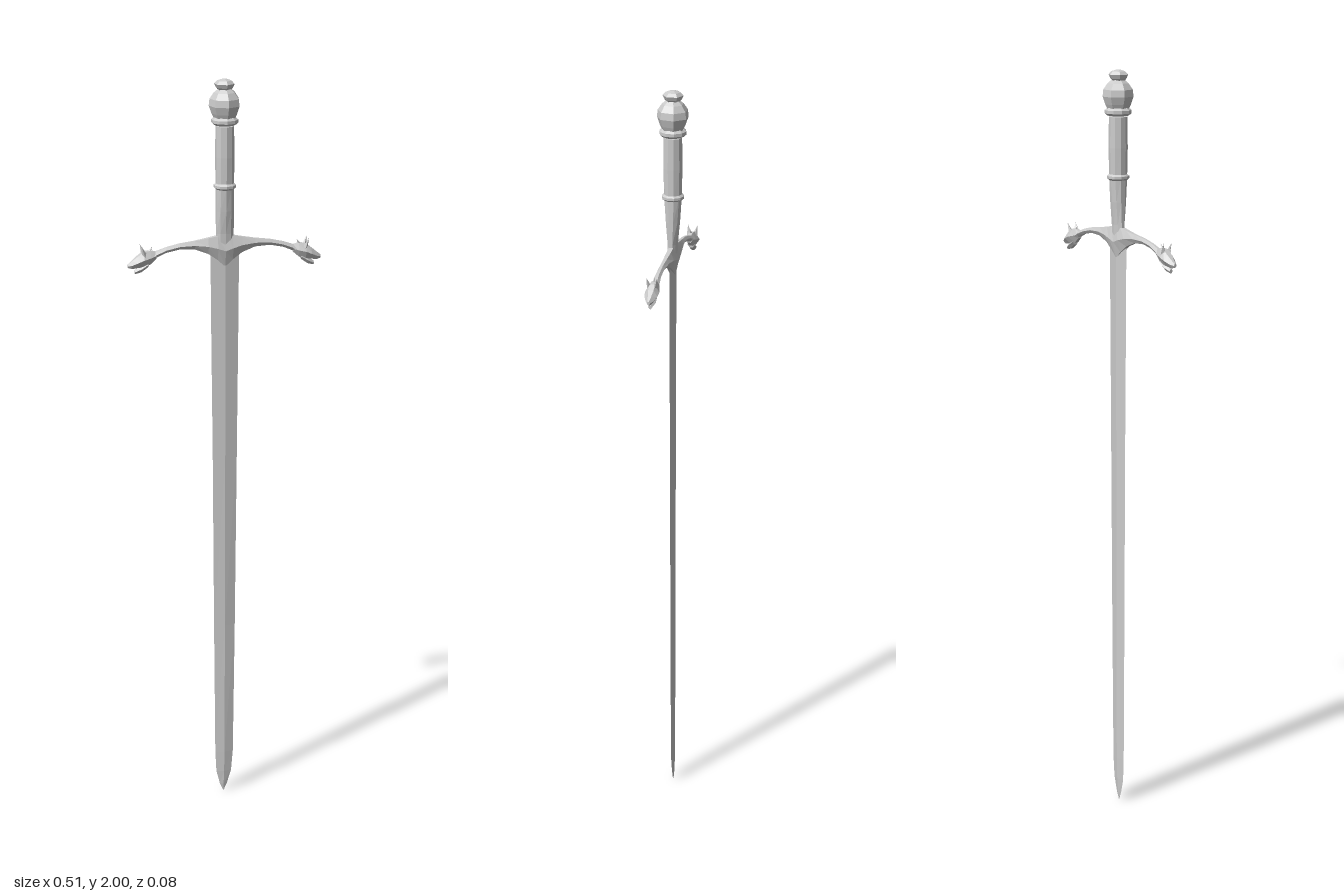
import * as THREE from 'three';

const material = new THREE.MeshStandardMaterial({ color: 0xcccccc, flatShading: true });

// Skin a list of rings (each wound counter-clockwise about the direction of travel), capping both ends.
function loft(name, rings) {
  const n = rings[0].length, idx = [];
  for (let i = 0; i < rings.length - 1; i++) {
    for (let j = 0; j < n; j++) {
      const a = i * n + j, b = i * n + (j + 1) % n;
      idx.push(a, b, b + n, a, b + n, a + n);
    }
  }
  const last = (rings.length - 1) * n;
  for (let j = 1; j < n - 1; j++) idx.push(0, j + 1, j, last, last + j, last + j + 1);
  const g = new THREE.BufferGeometry();
  g.setAttribute('position', new THREE.Float32BufferAttribute(rings.flat(2), 3));
  g.setIndex(idx);
  g.computeVertexNormals();
  const mesh = new THREE.Mesh(g, material);
  mesh.name = name;
  return mesh;
}

// Horizontal elliptical ring
function ring(y, rx, rz, sides, cx = 0, turn = 0) {
  return Array.from({ length: sides }, (_, k) => {
    const t = turn + k / sides * Math.PI * 2;
    return [cx + Math.sin(t) * rx, y, Math.cos(t) * rz];
  });
}

// Upright six-sided section across the guard: flat crest, wide middle, narrow underside
function guardSection([x, top, bottom, hz]) {
  const mid = (top + bottom) / 2;
  return [
    [x, top, -hz * 0.4], [x, top, hz * 0.4], [x, mid, hz],
    [x, bottom, hz * 0.4], [x, bottom, -hz * 0.4], [x, mid, -hz],
  ];
}

// Beast head at the end of one arm, facing +x
function makeHead(name) {
  const head = new THREE.Group();
  head.name = name;
  head.add(loft('skull', [
    [0.182, 1.560, 1.541, 0.010], [0.197, 1.564, 1.528, 0.014], [0.215, 1.562, 1.522, 0.018],
    [0.230, 1.551, 1.521, 0.017], [0.246, 1.538, 1.518, 0.010], [0.256, 1.530, 1.521, 0.004],
  ].map(guardSection)));
  head.add(loft('jaw', [
    [0.203, 1.536, 1.521, 0.010], [0.222, 1.526, 1.508, 0.011], [0.238, 1.514, 1.504, 0.005],
  ].map(guardSection)));
  for (const side of [-1, 1]) {
    const ear = new THREE.Mesh(new THREE.ConeGeometry(0.008, 0.032, 4), material);
    ear.name = 'ear';
    ear.position.set(0.217, 1.564, side * 0.010);
    ear.rotation.set(side * 0.2, 0, -0.3);
    head.add(ear);
  }
  const crest = new THREE.Mesh(new THREE.ConeGeometry(0.007, 0.026, 4), material);
  crest.name = 'crest';
  crest.position.set(0.198, 1.563, 0);
  crest.rotation.z = 0.5;
  head.add(crest);
  return head;
}

export function createModel() {
  const sword = new THREE.Group();
  sword.name = 'sword';

  // Diamond-section blade: height, half width, half thickness, sideways offset
  sword.add(loft('blade', [
    [0, 0.001, 0.001, -0.004], [0.02, 0.010, 0.003, -0.004], [0.06, 0.021, 0.005, -0.003],
    [0.12, 0.025, 0.006, -0.002], [0.5, 0.029, 0.006, -0.001], [1.0, 0.033, 0.006, 0],
    [1.4, 0.037, 0.007, 0], [1.57, 0.038, 0.007, 0],
  ].map(([y, w, t, cx]) => ring(y, w, t, 4, cx))));

  // Crossguard, pointed below the centre and drooping outward
  const half = [
    [0, 1.598, 1.512, 0.016], [0.02, 1.594, 1.530, 0.016], [0.045, 1.589, 1.548, 0.014],
    [0.08, 1.583, 1.561, 0.010], [0.12, 1.578, 1.563, 0.008], [0.155, 1.570, 1.556, 0.008],
    [0.190, 1.558, 1.541, 0.011],
  ];
  const mirrored = half.slice(1).reverse().map(([x, ...rest]) => [-x, ...rest]);
  sword.add(loft('crossguard', [...mirrored, ...half].map(guardSection)));
  const rightHead = makeHead('rightGuardHead');
  rightHead.rotation.y = Math.PI;
  sword.add(makeHead('leftGuardHead'), rightHead);

  // Grip, flattened towards the guard
  sword.add(loft('grip', [
    [1.56, 0.024, 0.012], [1.60, 0.024, 0.013], [1.66, 0.024, 0.019],
    [1.72, 0.024, 0.023], [1.80, 0.025, 0.025], [1.88, 0.024, 0.024],
  ].map(([y, rx, rz]) => ring(y, rx, rz, 10))));

  // Raised bands on the grip
  const bands = [['gripBand', 1.724, 0.029, 0.008], ['pommelCollar', 1.893, 0.035, 0.010]];
  for (const [name, y, r, h] of bands) {
    sword.add(loft(name, [[-h, r * 0.8], [-h * 0.4, r], [h * 0.4, r], [h, r * 0.8]]
      .map(([dy, q]) => ring(y + dy, q, q, 10))));
  }

  // Faceted pommel and its finial
  sword.add(loft('pommel', [
    [1.895, 0.026], [1.912, 0.034], [1.932, 0.041], [1.950, 0.039], [1.966, 0.028], [1.975, 0.017],
  ].map(([y, r]) => ring(y, r, r, 7, 0, 0.05))));
  sword.add(loft('finial', [
    [1.970, 0.015], [1.978, 0.022], [1.988, 0.027], [1.996, 0.019], [2.0, 0.006],
  ].map(([y, r]) => ring(y, r, r, 6, -0.001, 0.1))));

  return sword;
}
